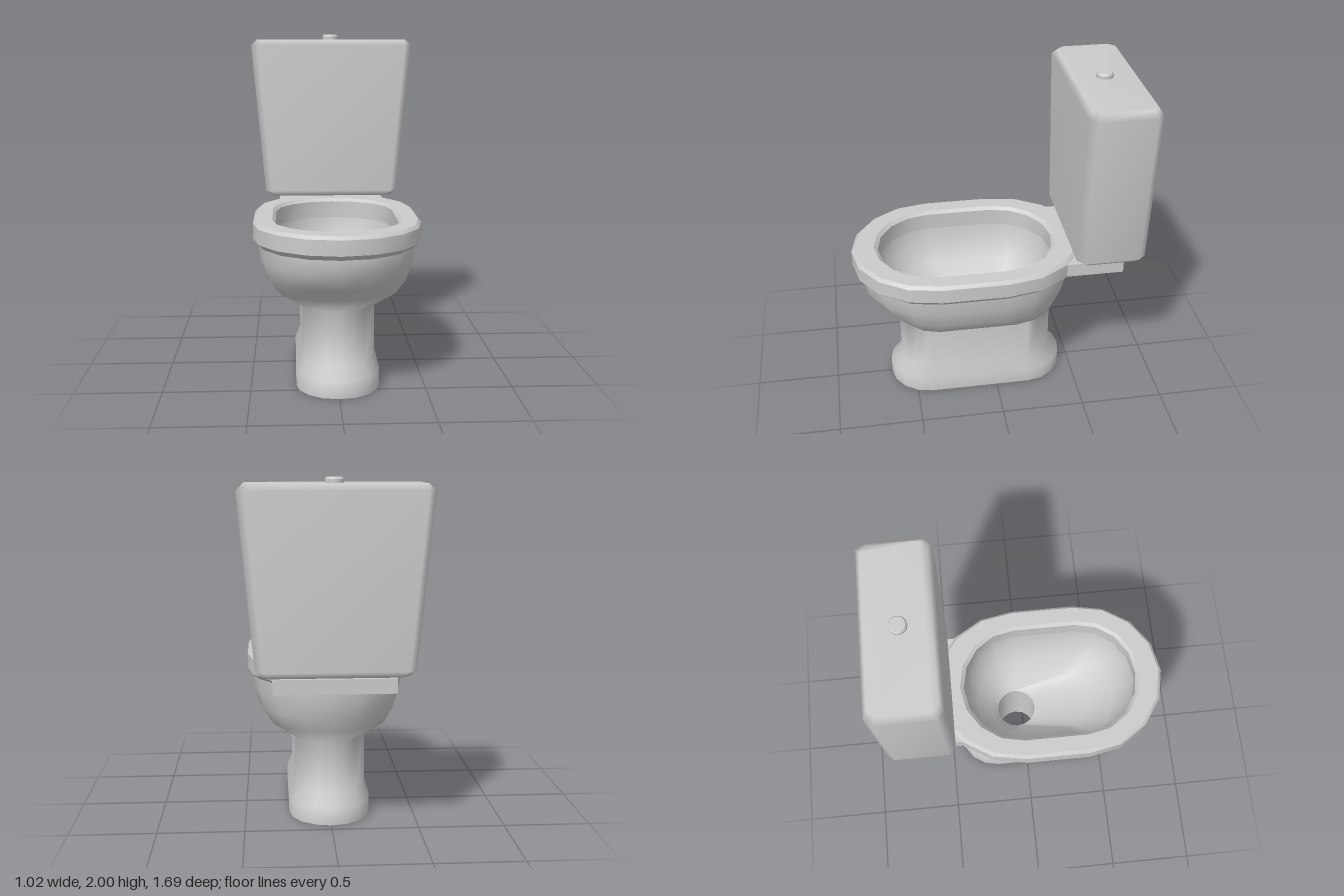
import * as THREE from 'three';
import { toCreasedNormals } from 'three/addons/utils/BufferGeometryUtils.js';

const material = new THREE.MeshStandardMaterial({ color: 0xcccccc, side: THREE.DoubleSide });

// Oval ring: two half ellipses joined by straight sides.
function oval(y, rx, zFront, zBack, cFront = 0.35, cBack = -0.03) {
  const ring = [];
  for (let i = 0; i < 18; i++) {
    const front = i < 9;
    const a = ((front ? i : i - 1) * Math.PI) / 8;
    const c = front ? cFront : cBack;
    const rz = front ? zFront - cFront : cBack - zBack;
    ring.push([rx * Math.cos(a), y, c + rz * Math.sin(a)]);
  }
  return ring;
}

// Rectangle ring with cut corners.
function cutRect(y, hx, hz, zMid, cut = 0.04) {
  return [[hx, hz - cut], [hx - cut, hz], [cut - hx, hz], [-hx, hz - cut],
    [-hx, cut - hz], [cut - hx, -hz], [hx - cut, -hz], [hx, cut - hz]]
    .map(([x, z]) => [x, y, zMid + z]);
}

// Skin over rings of equal count, optionally closed at both ends.
function loft(rings, capped = false) {
  const n = rings[0].length, index = [];
  for (let r = 0; r < rings.length - 1; r++) {
    for (let i = 0; i < n; i++) {
      const a = r * n + i, b = r * n + ((i + 1) % n);
      index.push(a, a + n, b, b, a + n, b + n);
    }
  }
  if (capped) {
    const top = (rings.length - 1) * n;
    for (let i = 1; i < n - 1; i++) index.push(0, i, i + 1, top, top + i + 1, top + i);
  }
  const geo = new THREE.BufferGeometry();
  geo.setAttribute('position', new THREE.Float32BufferAttribute(rings.flat(2), 3));
  geo.setIndex(index);
  geo.computeVertexNormals();
  return geo;
}

export function createModel() {
  const model = new THREE.Group();
  model.name = 'toilet';
  const add = (name, geo, x = 0, y = 0, z = 0) => {
    const mesh = new THREE.Mesh(geo, material);
    mesh.name = name;
    mesh.position.set(x, y, z);
    model.add(mesh);
  };

  // Hollow foot and column flaring into the bowl
  add('pedestalAndBowl', toCreasedNormals(loft([
    oval(0, 0.24, 0.65, -0.44, 0.41, -0.2),
    oval(0.1, 0.24, 0.65, -0.44, 0.41, -0.2),
    oval(0.17, 0.21, 0.58, -0.37, 0.4, -0.2),
    oval(0.485, 0.21, 0.58, -0.37, 0.4, -0.2),
    oval(0.55, 0.35, 0.61, -0.4, 0.36, -0.1),
    oval(0.635, 0.41, 0.715, -0.44),
    oval(0.74, 0.44, 0.795, -0.465),
    oval(0.825, 0.45, 0.8, -0.47),
  ]), 1.05));

  // Rim with bevelled edges and a vertical inner wall
  add('rim', toCreasedNormals(loft([
    oval(0.825, 0.45, 0.8, -0.47),
    oval(0.857, 0.48, 0.845, -0.55),
    oval(0.943, 0.48, 0.845, -0.55),
    oval(0.962, 0.462, 0.827, -0.53),
    oval(0.962, 0.37, 0.71, -0.39),
    oval(0.943, 0.352, 0.687, -0.368),
    oval(0.84, 0.352, 0.687, -0.368),
  ]), 0.6));

  // Basin sloping down to the drain
  add('basin', loft([
    oval(0.84, 0.352, 0.687, -0.368),
    oval(0.74, 0.335, 0.66, -0.35),
    oval(0.63, 0.275, 0.57, -0.3, 0.34, -0.04),
    oval(0.54, 0.185, 0.42, -0.22, 0.25, -0.05),
    oval(0.47, 0.12, 0.07, -0.17, -0.05, -0.05),
  ]));

  // Drain pipe inside the hollow pedestal
  add('drainPipe', new THREE.CylinderGeometry(0.12, 0.12, 0.44, 16, 1, true), 0, 0.25, -0.05);

  // Shelf behind the rim, under the tank
  add('tankShelf', new THREE.BoxGeometry(0.67, 0.083, 0.37), 0, 0.9, -0.557);

  // Tapered tank with bevelled edges
  add('tank', loft([
    cutRect(0.965, 0.39, 0.175, -0.645),
    cutRect(1.0, 0.425, 0.203, -0.645),
    cutRect(1.935, 0.51, 0.203, -0.645),
    cutRect(1.97, 0.475, 0.18, -0.645),
  ], true));

  // Flush button
  const profile = [[0.05, 0], [0.05, 0.024], [0.042, 0.035], [0, 0.035]]
    .map(([x, y]) => new THREE.Vector2(x, y));
  add('flushButton', toCreasedNormals(new THREE.LatheGeometry(profile, 16), 0.6), 0, 1.965, -0.645);

  return model;
}
